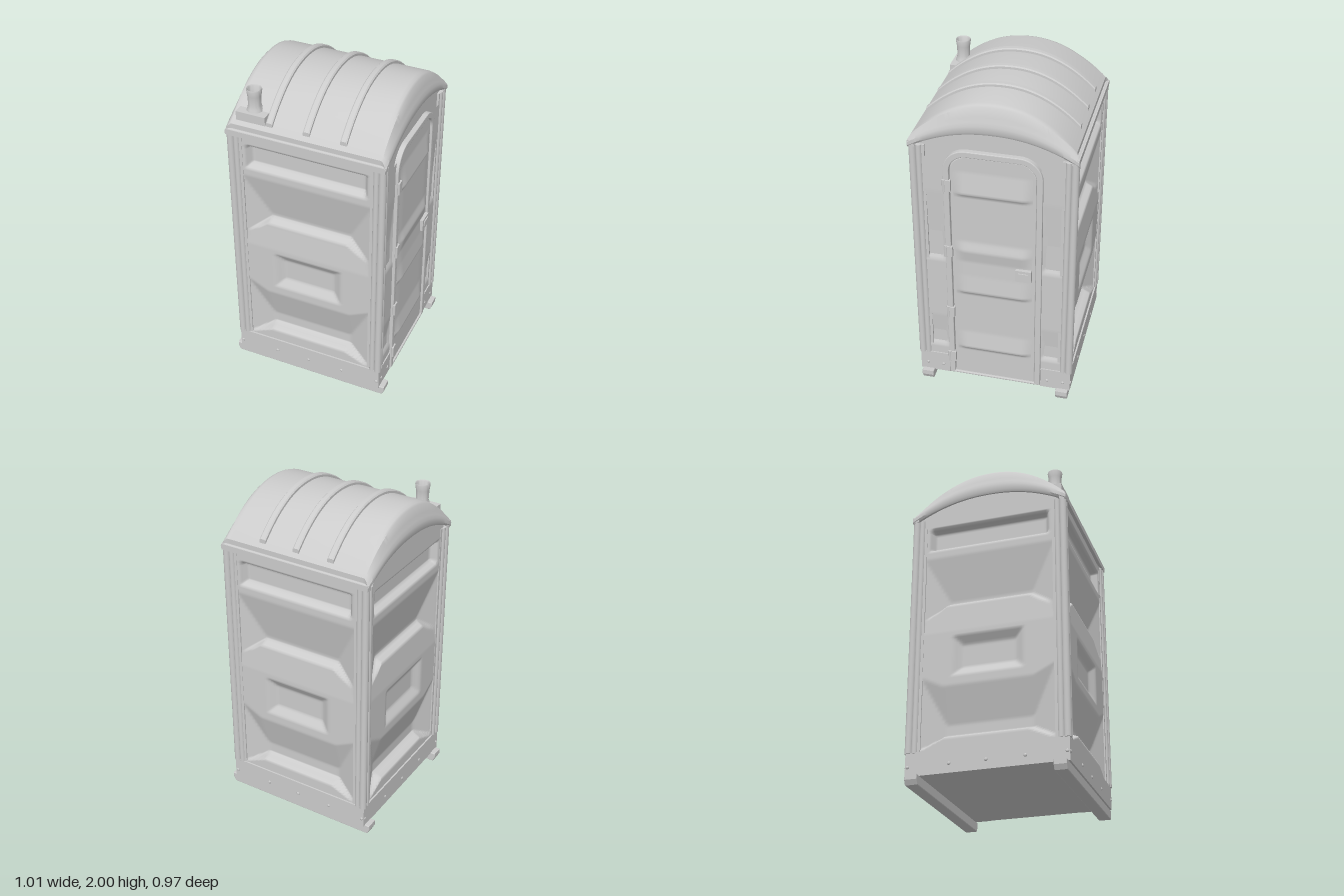
import * as THREE from 'three';
import { toCreasedNormals } from 'three/addons/utils/BufferGeometryUtils.js';

const material = new THREE.MeshStandardMaterial({ color: 0xcccccc });
const { clamp, lerp } = THREE.MathUtils;

function add(parent, name, geometry, x = 0, y = 0, z = 0) {
  const mesh = new THREE.Mesh(geometry, material);
  mesh.name = name;
  mesh.position.set(x, y, z);
  parent.add(mesh);
  return mesh;
}
const box = (w, h, d) => new THREE.BoxGeometry(w, h, d);

// Upright panel facing +z whose vertices are pushed by offset(x, y)
function reliefPanel(width, y0, y1, nx, ny, offset, cx = 0) {
  const g = new THREE.PlaneGeometry(width, y1 - y0, nx, ny);
  g.translate(cx, (y0 + y1) / 2, 0);
  const p = g.attributes.position;
  for (let i = 0; i < p.count; i++) p.setZ(i, offset(p.getX(i), p.getY(i)));
  g.computeVertexNormals();
  return g;
}

// Depth 0 outside a rectangle, ramping to full depth over margin m
function pocket(u, v, halfW, v0, v1, m, depth) {
  const inside = Math.min(halfW - Math.abs(u), v - v0, v1 - v);
  return depth * clamp(inside / m, 0, 1);
}

// Moulded wall: vent pocket, two scooped recesses, eight-sided boss with a pocket
function wallDepth(x, y) {
  const u = Math.abs(x), D = 0.065;
  const side = Math.max(0, (0.405 - u) * 0.43);
  const bossTop = 1.1 - Math.max(0, u - 0.25) * 0.62;
  const bossLow = 0.58 + Math.max(0, u - 0.27) * 0.5;
  const sill = 0.27 - Math.max(0, u - 0.25) * 0.45;
  let d = 0;
  if (y > bossTop) d = Math.min(D * clamp((1.42 - y) / 0.28, 0, 1), (y - bossTop) * 3 + 0.015);
  else if (y > bossLow) d = 0.015 * clamp((y - 0.92) / 0.17, 0, 1);
  else if (y > sill) d = Math.min(D * clamp((bossLow - y) / 0.22, 0, 1), (y - sill) * 3);
  d = Math.min(d, side);
  d += pocket(x, y, 0.215, 0.64, 0.89, 0.055, 0.035);
  return d + pocket(x, y, 0.37, 1.475, 1.625, 0.018, 0.045);
}

// Piecewise linear lookup through [y, value] pairs
function profile(points, y) {
  for (let i = 1; i < points.length; i++) {
    const [a, va] = points[i - 1], [b, vb] = points[i];
    if (y <= b) return lerp(va, vb, clamp((y - a) / (b - a), 0, 1));
  }
  return points[points.length - 1][1];
}

const arc = t => 1 - Math.pow(Math.abs(t), 2.15);

// Arched surface across z; each row is [x, base y, rise, half depth]
function archedSurface(rows, tMax, endY) {
  const N = 40, pos = [], idx = [];
  for (const [x, base, rise, half] of rows) {
    pos.push(x, Math.min(endY, base), -half * tMax);
    for (let j = 0; j <= N; j++) {
      const t = tMax * (2 * j / N - 1);
      pos.push(x, base + rise * arc(t), half * t);
    }
    pos.push(x, Math.min(endY, base), half * tMax);
  }
  const w = N + 3;
  for (let i = 0; i < rows.length - 1; i++) for (let j = 0; j < w - 1; j++) {
    const a = i * w + j;
    idx.push(a, a + 1, a + w, a + 1, a + w + 1, a + w);
  }
  const g = new THREE.BufferGeometry();
  g.setAttribute('position', new THREE.Float32BufferAttribute(pos, 3));
  g.setIndex(idx);
  return toCreasedNormals(g, 0.6);
}

// Door outline with rounded top corners
function doorOutline(half, y0, y1, r, Type = THREE.Shape) {
  const s = new Type();
  s.moveTo(-half, y0);
  s.lineTo(half, y0);
  s.lineTo(half, y1 - r);
  s.absarc(half - r, y1 - r, r, 0, Math.PI / 2);
  s.lineTo(-half + r, y1);
  s.absarc(-half + r, y1 - r, r, Math.PI / 2, Math.PI);
  s.closePath();
  return s;
}
const extrude = (shape, depth, bevel = 0) => new THREE.ExtrudeGeometry(shape, {
  depth, bevelEnabled: bevel > 0, bevelSize: bevel, bevelThickness: bevel, bevelSegments: 3, curveSegments: 14 });

// Flat end wall with an arched top
function gablePlate(y0) {
  const s = new THREE.Shape();
  s.moveTo(-0.43, y0);
  s.lineTo(0.43, y0);
  for (let i = 0; i <= 24; i++) {
    const x = 0.43 - 0.86 * i / 24;
    s.lineTo(x, 1.71 + 0.13 * arc(x / 0.485));
  }
  return extrude(s, 0.02);
}

function boltRow(parent, xs) {
  for (const x of xs) {
    const bolt = add(parent, 'bolt', new THREE.SphereGeometry(0.01, 10, 6), x, 0.11, 0.475);
    bolt.scale.z = 0.6;
  }
}

function buildRoof() {
  const roof = new THREE.Group();
  roof.name = 'roof';
  const half = [[0.45, 1.68, 0.13, 0.47], [0.478, 1.675, 0.13, 0.482], [0.486, 1.685, 0.135, 0.485],
    [0.486, 1.705, 0.155, 0.485], [0.478, 1.72, 0.163, 0.48], [0.47, 1.735, 0.175, 0.474],
    [0.455, 1.75, 0.212, 0.467], [0.445, 1.75, 0.223, 0.465], [0.425, 1.75, 0.23, 0.465]];
  const rows = [...half.map(([x, ...r]) => [-x, ...r]), ...half.slice().reverse()];
  add(roof, 'roofShell', archedSurface(rows, 1, 1.69));
  for (const x of [-0.225, 0, 0.222]) {
    const rib = [[-0.021, 1.72], [-0.02, 1.768], [-0.013, 1.775], [0.013, 1.775], [0.02, 1.768], [0.021, 1.72]];
    add(roof, 'roofRib', archedSurface(rib.map(([dx, y]) => [x + dx, y, 0.225, 0.465]), 0.955, 1.73));
  }
  for (const s of [-1, 1]) {
    add(roof, 'eave', box(0.966, 0.035, 0.04), 0, 1.7, s * 0.465);
    const bead = add(roof, 'eaveBead', new THREE.CylinderGeometry(0.018, 0.018, 0.966, 14), 0, 1.703, s * 0.467);
    bead.rotation.z = Math.PI / 2;
  }
  // Vent pipe on its flat pad
  add(roof, 'ventPad', box(0.18, 0.08, 0.12), -0.34, 1.785, 0.385);
  const pipe = [[0.052, 1.81], [0.043, 1.84], [0.037, 1.86], [0.04, 1.92], [0.045, 1.955], [0.043, 1.962],
    [0.037, 1.955], [0.034, 1.85], [0, 1.85]].map(p => new THREE.Vector2(...p));
  add(roof, 'ventPipe', toCreasedNormals(new THREE.LatheGeometry(pipe, 28), 0.8), -0.34, 0, 0.383);
  return roof;
}

function buildDoorSide() {
  const side = new THREE.Group();
  side.name = 'doorSide';
  side.rotation.y = Math.PI / 2;
  add(side, 'doorWall', gablePlate(0.06), 0, 0, 0.435);
  // Moulded strips and skirt either side of the door
  const bands = [[0.2, 0], [0.26, 0], [0.3, 0.02], [0.5, 0], [0.92, 0], [0.96, 0.02], [1.4, 0], [1.66, 0]];
  for (const s of [-1, 1]) {
    add(side, 'sideStrip', reliefPanel(0.15, 0.18, 1.62, 12, 90, (x, y) =>
      0.468 - Math.min(profile(bands, y), Math.max(0, 0.07 - Math.abs(x - s * 0.35)) * 0.5), s * 0.35));
    add(side, 'sideSkirt', box(0.185, 0.14, 0.06), s * 0.3825, 0.125, 0.445);
    boltRow(side, [s * 0.33, s * 0.43]);
  }
  const frame = doorOutline(0.282, 0.07, 1.682, 0.13);
  frame.holes.push(doorOutline(0.257, 0.075, 1.655, 0.108, THREE.Path));
  add(side, 'doorFrame', extrude(frame, 0.028, 0.005), 0, 0, 0.452);
  add(side, 'doorPanel', extrude(doorOutline(0.245, 0.07, 1.643, 0.1), 0.014, 0.004), 0, 0, 0.455);
  // Raised horizontal swells on the door
  const swells = [[0.09, 0], [0.27, 0], [0.29, 0.019], [0.41, 0.003], [0.7, 0.003], [0.72, 0.019], [0.84, 0.008],
    [0.94, 0.005], [1.02, 0.019], [1.08, 0.004], [1.39, 0.004], [1.41, 0.019], [1.55, 0]];
  add(side, 'doorSwells', reliefPanel(0.46, 0.09, 1.56, 24, 130, (x, y) =>
    0.474 + profile(swells, y) * clamp((0.23 - Math.abs(x)) / 0.05, 0, 1)));
  for (const y of [0.2, 0.55, 1.0, 1.455]) {
    add(side, 'hinge', box(0.042, 0.07, 0.03), -0.263, y, 0.478);
    add(side, 'hingePin', new THREE.CylinderGeometry(0.009, 0.009, 0.076, 10), -0.282, y, 0.488);
  }
  add(side, 'latchPlate', box(0.094, 0.078, 0.022), 0.182, 0.898, 0.488);
  add(side, 'latchGrip', box(0.06, 0.03, 0.008), 0.182, 0.905, 0.501);
  return side;
}

export function createModel() {
  const model = new THREE.Group();
  model.name = 'portableCabin';

  add(model, 'core', box(0.78, 1.64, 0.78), 0, 0.88, 0);
  add(model, 'floor', box(0.94, 0.03, 0.94), 0, 0.07, 0);

  // Front, back and rear-of-door walls share one moulding
  const panel = reliefPanel(0.84, 0.17, 1.69, 64, 150, (x, y) => 0.465 - wallDepth(x, y));
  ['frontWall', 'backWall', 'sideWall'].forEach((name, i) => {
    const wall = new THREE.Group();
    wall.name = name;
    wall.rotation.y = [0, Math.PI, -Math.PI / 2][i];
    add(wall, name + 'Panel', panel);
    add(wall, 'skirt', box(0.95, 0.14, 0.05), 0, 0.125, 0.45);
    boltRow(wall, [-0.46, -0.215, 0, 0.225, 0.46]);
    if (i === 2) add(wall, 'gable', gablePlate(1.64), 0, 0, 0.444);
    model.add(wall);
  });
  model.add(buildDoorSide());

  // Ribbed corner posts
  for (const sx of [-1, 1]) for (const sz of [-1, 1]) {
    const post = new THREE.Group();
    post.name = 'cornerPost';
    add(post, 'postCore', box(0.075, 1.5, 0.075), sx * 0.43, 0.94, sz * 0.43);
    for (const [a, b, r] of [[0.426, 0.462, 0.018], [0.462, 0.426, 0.018], [0.462, 0.462, 0.022]])
      add(post, 'postRib', new THREE.CylinderGeometry(r, r, 1.5, 14), sx * a, 0.94, sz * b);
    model.add(post);
  }

  // Skids under the floor
  const skid = new THREE.Shape();
  [[-0.49, 0.005], [0.49, 0.005], [0.502, 0.03], [0.502, 0.055], [-0.502, 0.055], [-0.502, 0.03]]
    .forEach(([x, y], i) => (i ? skid.lineTo(x, y) : skid.moveTo(x, y)));
  for (const s of [-1, 1])
    add(model, 'skid', extrude(skid, 0.064, 0.005), 0, 0, s * 0.427 - 0.032);

  model.add(buildRoof());
  return model;
}
